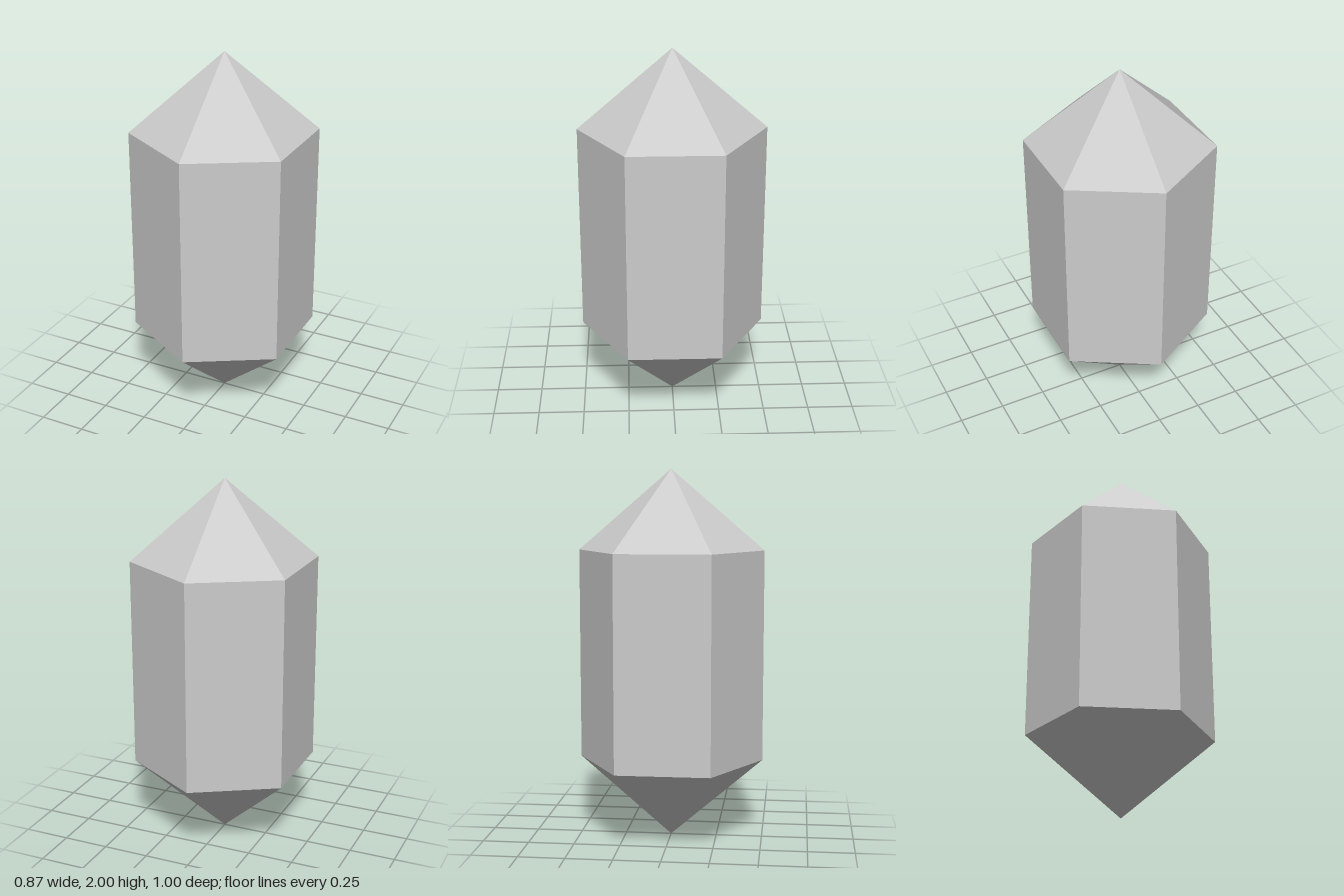
import * as THREE from 'three';

const SIDES = 6;
const RADIUS = 0.5;
const TIP = 0.43; // height of each pointed end
const HEIGHT = 2;

export function createModel() {
  const crystal = new THREE.Group();
  crystal.name = 'crystal';
  const material = new THREE.MeshStandardMaterial({ color: 0xcccccc, flatShading: true });

  // One open six-sided section standing on the given height
  function addSection(name, topRadius, bottomRadius, height, base) {
    const geometry = new THREE.CylinderGeometry(topRadius, bottomRadius, height, SIDES, 1, true);
    const mesh = new THREE.Mesh(geometry, material);
    mesh.name = name;
    mesh.position.y = base + height / 2;
    crystal.add(mesh);
  }

  addSection('lowerPoint', RADIUS, 0, TIP, 0);
  addSection('prismBody', RADIUS, RADIUS, HEIGHT - 2 * TIP, TIP);
  addSection('upperPoint', 0, RADIUS, TIP, HEIGHT - TIP);

  return crystal;
}
